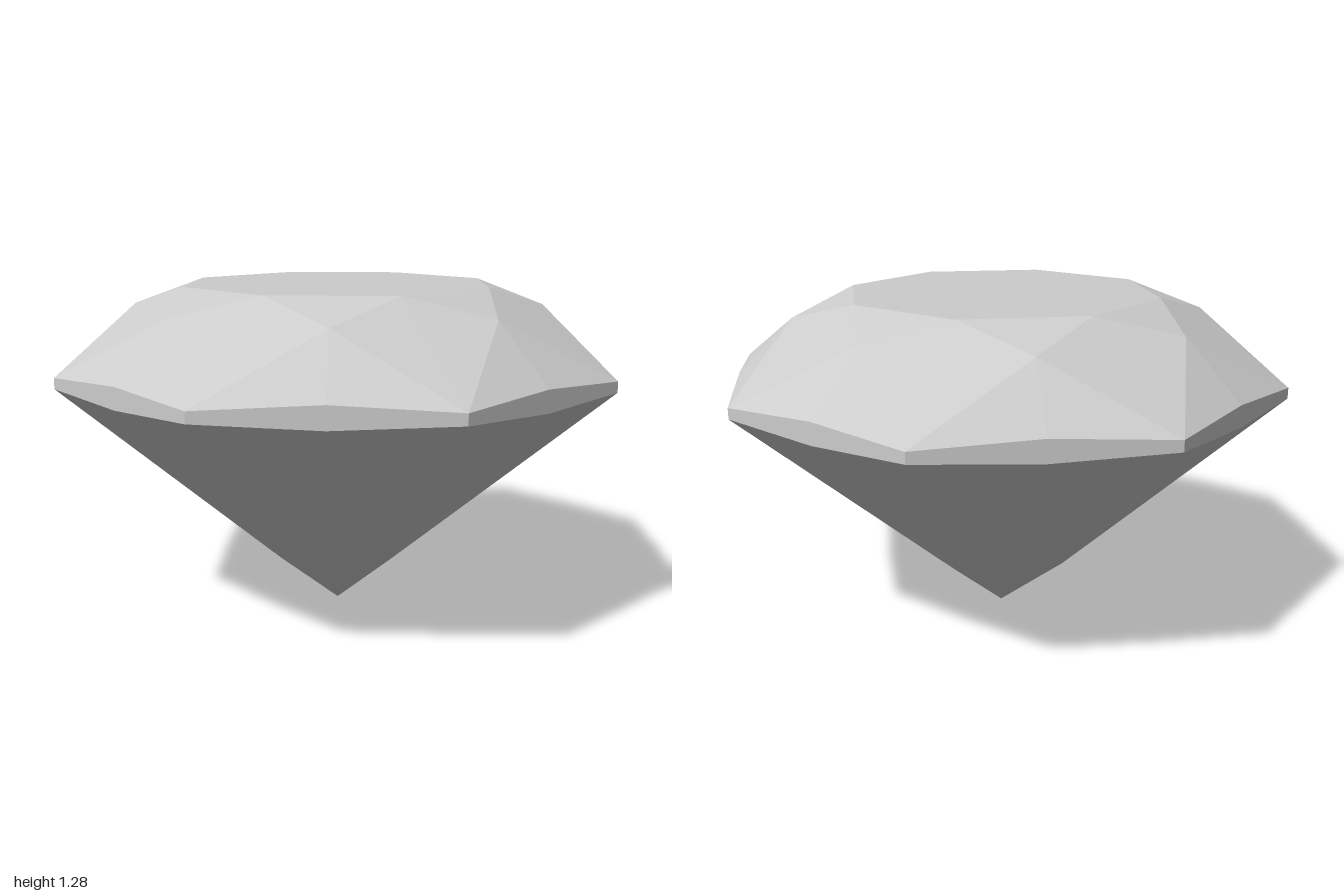
import * as THREE from 'three';

const TURN = Math.PI / 8; // sixteen steps around the stone

// Point on a ring: radius, height, step around from the front (+z) towards +x
const ring = (r, y) => (i) => {
  const a = i * TURN;
  return [r * Math.sin(a), y, r * Math.cos(a)];
};

// Girdle outline: odd steps are corners of the octagon, even steps lie midway along its sides
const girdle = (cornerY, midY) => (i) => {
  const side = (k) => {
    const skew = ((k % 4) + 4) % 4 === 1 ? -1 : 1;
    const a = k * TURN + skew * (TURN - Math.atan2(0.4, 1));
    const r = Math.hypot(0.4, 1);
    return [r * Math.sin(a), cornerY, r * Math.cos(a)];
  };
  if (i % 2) return side(i);
  const a = side(i - 1), b = side(i + 1);
  return [(a[0] + b[0]) / 2, midY, (a[2] + b[2]) / 2];
};

// Flat-faceted mesh from convex polygons, corners counter-clockwise from outside
function facets(name, polygons, material) {
  const points = [];
  for (const p of polygons) {
    for (let i = 1; i < p.length - 1; i++) points.push(...p[0], ...p[i], ...p[i + 1]);
  }
  const geometry = new THREE.BufferGeometry();
  geometry.setAttribute('position', new THREE.Float32BufferAttribute(points, 3));
  geometry.computeVertexNormals();
  const mesh = new THREE.Mesh(geometry, material);
  mesh.name = name;
  return mesh;
}

export function createModel() {
  const group = new THREE.Group();
  group.name = 'cutGem';
  const gem = new THREE.MeshStandardMaterial({ color: 0xcccccc, flatShading: true });
  gem.name = 'gemGrey';

  const table = ring(0.6, 1.28);
  const star = ring(0.783, 1.2);
  const upper = girdle(0.975, 0.997);
  const lower = girdle(0.935, 0.917);
  const inner = ring(0.3, 0.24);
  const culet = [0, 0, 0];

  const tableFace = [], crown = [], band = [], pavilion = [];
  for (let m = 0; m < 16; m += 2) {
    const l = m - 1, c = m + 1;
    tableFace.push(table(c));
    crown.push(
      [table(l), star(m), table(c)],              // star facet
      [table(c), star(m), upper(c), star(m + 2)], // kite facet
      [star(m), upper(l), upper(m)],              // upper girdle pair
      [star(m), upper(m), upper(c)],
    );
    band.push(
      [lower(l), lower(m), upper(m), upper(l)],
      [lower(m), lower(c), upper(c), upper(m)],
    );
    pavilion.push(
      [inner(m), lower(m), lower(l)],             // lower girdle pair
      [inner(m), lower(c), lower(m)],
      [culet, inner(m + 2), lower(c), inner(m)],  // main facet
    );
  }

  group.add(
    facets('table', [tableFace], gem),
    facets('crown', crown, gem),
    facets('girdle', band, gem),
    facets('pavilion', pavilion, gem),
  );
  return group;
}
